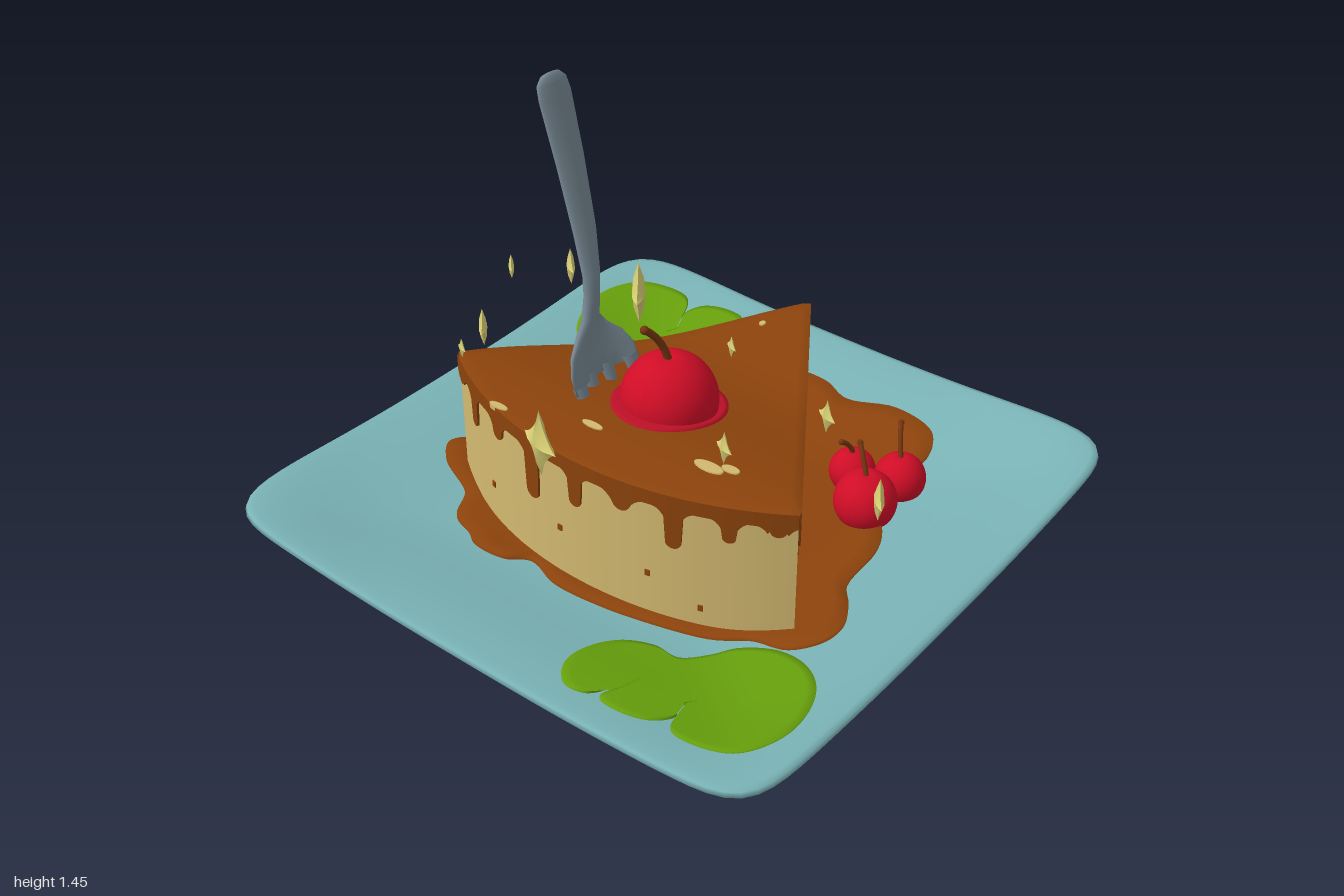
import * as THREE from 'three';
import { toCreasedNormals } from 'three/addons/utils/BufferGeometryUtils.js';

const { smoothstep, lerp } = THREE.MathUtils;
const V = (x, y, z) => new THREE.Vector3(x, y, z);

function paint(name, color) {
  const m = new THREE.MeshStandardMaterial({ color });
  m.name = name;
  return m;
}

// Skin a list of equal-length point rings; the face normal is (ring direction) x (around direction)
function loft(rings, closed = true) {
  const n = rings[0].length, pos = [], idx = [];
  rings.forEach(r => r.forEach(p => pos.push(p.x, p.y, p.z)));
  for (let i = 0; i < rings.length - 1; i++) {
    for (let j = 0; j < (closed ? n : n - 1); j++) {
      const k = (j + 1) % n, a = i * n + j, b = i * n + k;
      idx.push(a, a + n, b, b, a + n, b + n);
    }
  }
  const g = new THREE.BufferGeometry();
  g.setAttribute('position', new THREE.Float32BufferAttribute(pos, 3));
  g.setIndex(idx);
  g.computeVertexNormals();
  return g;
}

const around = (n, f) => Array.from({ length: n }, (_, i) => f(i / n * Math.PI * 2));

// Upper surface of the plate and of the cake
const cornerLift = (x, z) => 0.027 * smoothstep(Math.hypot(x, z), 0.95, 1.32);
function plateY(x, z) {
  const sq = (Math.abs(x) ** 12 + Math.abs(z) ** 12) ** (1 / 12);
  return 0.122 + 0.1 * smoothstep(sq, 0.42, 1.0) + cornerLift(x, z);
}
const cakeY = x => x < 0.25 ? lerp(0.58, 0.505, smoothstep(x, -0.3, 0.25))
  : lerp(0.505, 0.54, smoothstep(x, 0.25, 0.72));

// Sheet filled from an outline towards a centre, lying on a height function
function sheet(outline, cx, cz, height, lift) {
  const rings = [outline.map(p => V(p.x, height(p.x, p.z) - 0.012, p.z))];
  for (let k = 12; k >= 0; k--) {
    rings.push(outline.map(p => {
      const x = lerp(cx, p.x, k / 12), z = lerp(cz, p.z, k / 12);
      return V(x, height(x, z) + lift, z);
    }));
  }
  return loft(rings);
}
const blob = pairs => new THREE.CatmullRomCurve3(
  pairs.map(([x, z]) => V(x, 0, z)).reverse(), true, 'centripetal').getPoints(240).slice(0, -1);
const ellipse = (cx, cz, rx, rz) => around(40, a => V(cx + rx * Math.cos(a), 0, cz + rz * Math.sin(a)));

export function createModel() {
  const group = new THREE.Group();
  const teal = paint('teal glaze', 0x7ab3b6), cream = paint('cream sponge', 0xd3b970);
  const caramel = paint('caramel', 0x8c430c), red = paint('cherry red', 0xcf0d26);
  const syrup = paint('cherry syrup', 0xc01028), steel = paint('steel', 0x74848f);
  const green = paint('leaf green', 0x67a00c), gold = paint('sparkle gold', 0xd8cf74);
  const brown = paint('stem brown', 0x74360f);
  const add = (name, geo, mat) => {
    const m = new THREE.Mesh(geo, mat);
    m.name = name;
    group.add(m);
    return m;
  };

  // Plate: round foot blending into a square rim (radius, height, squareness)
  const plateRing = (r, n, y) => around(192, a => {
    const c = Math.cos(a), s = Math.sin(a);
    const k = r * (Math.abs(c) ** n + Math.abs(s) ** n) ** (-1 / n);
    return V(k * c, y === null ? plateY(k * c, k * s) : y + cornerLift(k * c, k * s), k * s);
  });
  const under = [[0, 0.018, 2], [0.58, 0.018, 2], [0.62, 0.003, 2], [0.66, 0, 2], [0.71, 0.004, 2],
    [0.755, 0.022, 2.1], [0.785, 0.055, 2.3], [0.83, 0.098, 3], [0.89, 0.135, 5], [0.95, 0.163, 8],
    [0.985, 0.183, 11], [1, 0.203, 12], [0.996, 0.218, 12]];
  const plateRings = under.map(([r, y, n]) => plateRing(r, n, y));
  for (const r of [0.98, 0.95, 0.9, 0.84, 0.77, 0.7, 0.62, 0.54, 0.46, 0.4, 0.2, 0]) {
    plateRings.push(plateRing(r, lerp(2, 12, smoothstep(r, 0.3, 0.95)), null));
  }
  add('plate', loft(plateRings), teal);

  // Sauce puddle and two lobed leaves lying on the plate
  add('saucePuddle', sheet(blob([[-0.27, -0.74], [-0.33, -0.7], [-0.39, -0.56], [-0.49, -0.5], [-0.52, -0.42],
    [-0.555, -0.36], [-0.55, -0.25], [-0.5, -0.18], [-0.54, -0.05], [-0.53, 0.12], [-0.5, 0.26], [-0.44, 0.45],
    [-0.38, 0.56], [-0.37, 0.68], [-0.3, 0.75], [-0.22, 0.76], [-0.13, 0.72], [-0.03, 0.65], [0.15, 0.63],
    [0.25, 0.59], [0.35, 0.5], [0.5, 0.47], [0.65, 0.5], [0.74, 0.46], [0.775, 0.3], [0.73, 0.13], [0.765, 0.02],
    [0.75, -0.13], [0.68, -0.17], [0.52, -0.18], [0.44, -0.25], [0.42, -0.35], [0.43, -0.45], [0.37, -0.5],
    [0.25, -0.5], [0.12, -0.49], [0, -0.52], [-0.1, -0.55], [-0.18, -0.62], [-0.2, -0.7]]),
  0.05, 0, plateY, 0.014), caramel);
  const leafGeo = sheet(blob([[0.7, -0.615], [0.78, -0.615], [0.86, -0.65], [0.87, -0.73], [0.83, -0.84],
    [0.72, -0.9], [0.6, -0.9], [0.48, -0.85], [0.41, -0.76], [0.39, -0.65], [0.43, -0.55], [0.5, -0.5],
    [0.57, -0.44], [0.57, -0.36], [0.62, -0.28], [0.72, -0.24], [0.83, -0.25], [0.9, -0.31], [0.89, -0.38],
    [0.8, -0.42], [0.72, -0.435], [0.8, -0.43], [0.88, -0.42], [0.89, -0.5], [0.86, -0.58], [0.8, -0.615],
    [0.75, -0.59]]), 0.64, -0.57, plateY, 0.007);
  add('leafBack', leafGeo, green);
  add('leafFront', leafGeo, green).rotation.y = Math.PI;

  // Cake wedge walls, each running counter to the next corner
  const tip = 0.675, R = 1.16, half = 0.588;
  const onArc = a => V(tip - R * Math.cos(a), 0, R * Math.sin(a));
  const cFront = onArc(half), cBack = onArc(-half), apex = V(tip, 0, 0);
  const walls = [
    { name: 'Front', at: t => apex.clone().lerp(cFront, t), len: R, drips: [[0.02, 0.41, 0.017], [0.13, 0.43, 0.018],
      [0.275, 0.34, 0.025], [0.36, 0.465, 0.03], [0.49, 0.45, 0.03], [0.645, 0.43, 0.018], [0.825, 0.35, 0.032],
      [0.95, 0.43, 0.02]] },
    { name: 'Round', at: t => onArc(lerp(half, -half, t)), len: 2 * half * R, drips: [[0.04, 0.5, 0.025],
      [0.14, 0.46, 0.022], [0.26, 0.4, 0.026], [0.38, 0.48, 0.03], [0.5, 0.42, 0.022], [0.63, 0.36, 0.028],
      [0.76, 0.47, 0.025], [0.88, 0.42, 0.022], [0.97, 0.5, 0.025]] },
    { name: 'Back', at: t => cBack.clone().lerp(apex, t), len: R, drips: [[0.07, 0.46, 0.022], [0.19, 0.35, 0.026],
      [0.37, 0.465, 0.03], [0.5, 0.46, 0.022], [0.62, 0.42, 0.024], [0.78, 0.45, 0.024], [0.91, 0.46, 0.02]] },
  ];
  const rim = [];
  for (const w of walls) {
    const N = 260, foot = [], top = [], lipIn = [], lip = [], edge = [];
    for (let i = 0; i <= N; i++) {
      const t = i / N, p = w.at(t), y = cakeY(p.x);
      const d = w.at(t + 0.001).sub(w.at(t - 0.001)).normalize();
      const q = p.clone().add(V(d.z, 0, -d.x).multiplyScalar(0.007));
      // Glaze hem: round-ended drips with flared shoulders
      let hem = y - 0.045;
      for (const [c, low, r] of w.drips) {
        const s = Math.abs(t - c) * w.len;
        if (s < r) hem = Math.min(hem, low + r - Math.sqrt(r * r - s * s));
        else if (s < 2.5 * r) hem = Math.min(hem, y - 0.045 - 0.03 * (1 - (s - r) / (1.5 * r)) ** 2);
      }
      foot.push(V(p.x, 0.115, p.z));
      top.push(V(p.x, y, p.z));
      lipIn.push(V(p.x, hem, p.z));
      lip.push(V(q.x, hem, q.z));
      edge.push(V(q.x, y + 0.003, q.z));
      if (i < N && i % 4 === 0) rim.push(q);
    }
    add('cakeWall' + w.name, loft([foot, top], false), cream);
    add('glazeDrips' + w.name, toCreasedNormals(loft([lipIn, lip, edge], false), 0.7), caramel);
    // Caramel specks on the sponge
    [[0.2, 0.2], [0.32, 0.28], [0.55, 0.305], [0.8, 0.265]].forEach(([t, y]) => {
      const p = w.at(t), d = w.at(t + 0.01).sub(p);
      const m = add('speck', new THREE.BoxGeometry(0.016, 0.02, 0.008), caramel);
      m.position.set(p.x, y, p.z);
      m.rotation.y = Math.atan2(-d.z, d.x);
    });
  }
  const glazeY = x => cakeY(x) + 0.003;
  add('glazeTop', sheet(rim, 0, 0, glazeY, 0), caramel);

  // Bare patches in the glaze and the syrup under the cherry
  [[-0.325, -0.07, 0.013, 0.038], [-0.275, 0.32, 0.022, 0.05], [-0.245, 0.375, 0.017, 0.03],
    [-0.425, -0.35, 0.012, 0.035], [0.5, -0.06, 0.012, 0.01]].forEach(([x, z, rx, rz]) =>
    add('barePatch', sheet(ellipse(x, z, rx, rz), x, z, glazeY, 0.004), cream));
  add('syrupPool', sheet(ellipse(-0.065, 0.01, 0.188, 0.17), -0.065, 0.01, glazeY, 0.006), syrup);

  // Cherries with bent stems: centre, radius, stem end offset
  [[-0.067, 0.575, 0.01, 0.15, -0.07, 0.26, -0.035], [0.31, 0.19, 0.485, 0.1, 0.03, 0.18, -0.05],
    [0.425, 0.18, 0.36, 0.075, -0.05, 0.13, -0.015], [0.485, 0.18, 0.5, 0.083, 0.06, 0.16, -0.045],
  ].forEach(([x, y, z, r, dx, dy, dz]) => {
    // A small dimple is pressed into the top of each ball
    const ball = new THREE.SphereGeometry(r, 40, 28), p = ball.attributes.position;
    for (let i = 0; i < p.count; i++) {
      const h = Math.hypot(p.getX(i), p.getZ(i)) / r;
      if (p.getY(i) > 0) p.setY(i, p.getY(i) - 0.06 * r * Math.max(0, 1 - h * 4));
    }
    ball.computeVertexNormals();
    add('cherry', ball, red).position.set(x, y, z);
    const path = new THREE.QuadraticBezierCurve3(V(x, y + r * 0.85, z),
      V(x + dx * 0.2, y + lerp(r, dy, 0.6), z + dz * 0.4), V(x + dx, y + dy, z + dz));
    add('cherryStem', new THREE.TubeGeometry(path, 10, r > 0.12 ? 0.012 : 0.008, 8), brown);
    add('stemTip', new THREE.SphereGeometry(r > 0.12 ? 0.014 : 0.01, 10, 8), brown).position.set(x + dx, y + dy, z + dz);
  });

  // Fork: handle and cupped head (x, y, z, half width, half depth, cup), bottom to top
  const bar = list => loft(list.map(([x, y, z, w, d, cup]) => around(28, a =>
    V(x + w * Math.cos(a), y, z + d * Math.sin(a) + cup * Math.cos(a) ** 2))));
  add('fork', bar([[-0.11, 0.59, -0.24, 0, 0, 0], [-0.11, 0.59, -0.24, 0.145, 0.016, 0.05],
    [-0.108, 0.64, -0.258, 0.142, 0.018, 0.045], [-0.102, 0.68, -0.27, 0.118, 0.018, 0.03],
    [-0.09, 0.715, -0.28, 0.07, 0.018, 0.01], [-0.078, 0.75, -0.285, 0.036, 0.019, 0],
    [-0.06, 0.82, -0.293, 0.031, 0.019, 0], [-0.043, 0.88, -0.308, 0.035, 0.019, 0],
    [-0.017, 1.0, -0.352, 0.047, 0.019, 0], [0.015, 1.2, -0.43, 0.059, 0.019, 0],
    [0.034, 1.38, -0.497, 0.068, 0.018, 0], [0.036, 1.42, -0.511, 0.062, 0.017, 0],
    [0.036, 1.44, -0.516, 0.04, 0.012, 0], [0.036, 1.446, -0.518, 0, 0, 0]]), steel);
  for (const u of [-1, -0.34, 0.34, 1]) {
    const x = -0.11 + u * 0.115, z = -0.24 + 0.035 * u * u;
    add('forkTine', bar([[x, 0.51, z + 0.045, 0.008, 0.008, 0], [x, 0.55, z + 0.025, 0.02, 0.013, 0],
      [x, 0.61, z - 0.002, 0.028, 0.014, 0]]), steel);
  }

  // Sparkles: pillowed four-pointed stars (x, y, z, half height, turn)
  const starRing = (s, d) => around(48, a => V(0.72 * s * Math.sign(Math.cos(a)) * Math.abs(Math.cos(a)) ** 2.8,
    s * Math.sign(Math.sin(a)) * Math.abs(Math.sin(a)) ** 2.8, d));
  const starGeo = toCreasedNormals(loft([starRing(0, 0.2), starRing(0.5, 0.15), starRing(1, 0),
    starRing(0.5, -0.15), starRing(0, -0.2)]), 0.8);
  [[0.335, 0.58, -0.44, 0.115, 0.6], [-0.622, 0.72, 0, 0.11, 1.3], [-0.525, 0.935, -0.29, 0.06, 0.65],
    [-0.5, 0.88, 0.54, 0.052, 1.2], [-0.253, 1.0, 0.375, 0.035, 1.1], [-0.17, 0.885, -0.515, 0.042, 0.75],
    [-0.135, 0.81, 0.615, 0.055, 1.2], [-0.155, 0.63, 0.81, 0.072, 0.7], [0.105, 0.755, -0.525, 0.065, 0.9],
    [-0.39, 0.7, -0.525, 0.035, 1.2]].forEach(([x, y, z, s, turn]) => {
    const star = add('sparkle', starGeo, gold);
    star.position.set(x, y, z);
    star.scale.setScalar(s);
    star.rotation.y = turn;
  });
  return group;
}
